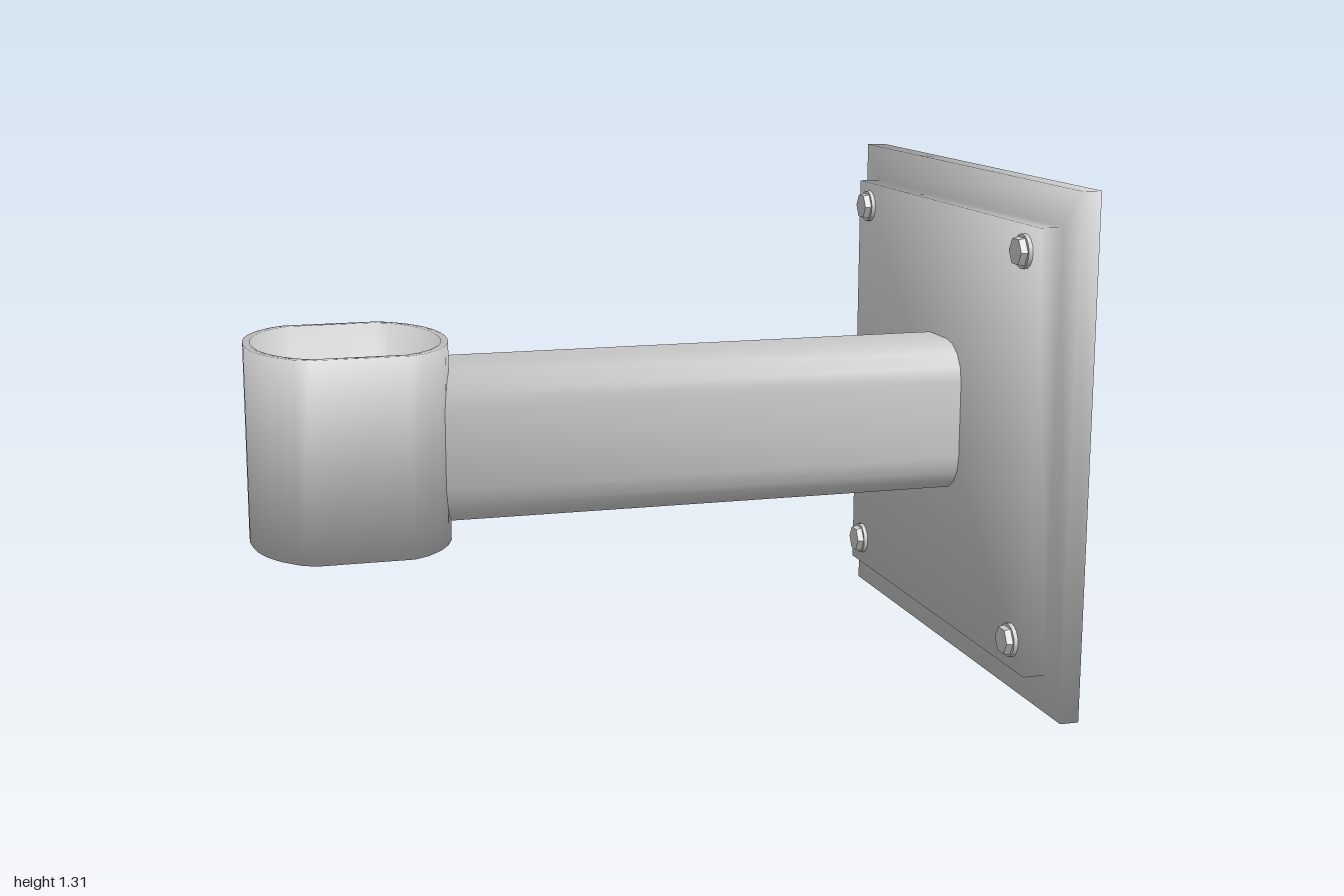
import * as THREE from 'three';
import { toCreasedNormals } from 'three/addons/utils/BufferGeometryUtils.js';

const CUP_X = -0.75;
const AXIS_Y = 0.66;

const solid = new THREE.MeshStandardMaterial({ color: 0xcccccc });
const sheet = new THREE.MeshStandardMaterial({ color: 0xcccccc, side: THREE.DoubleSide });

function part(name, geometry, material = solid) {
  const mesh = new THREE.Mesh(geometry, material);
  mesh.name = name;
  return mesh;
}

// Fully smooth normals, each face weighted by its corner angle
function smoothNormals(points, index) {
  const normals = points.map(() => new THREE.Vector3());
  const u = new THREE.Vector3(), v = new THREE.Vector3(), n = new THREE.Vector3();
  for (let t = 0; t < index.length; t += 3) {
    for (let k = 0; k < 3; k++) {
      const a = index[t + k], b = index[t + (k + 1) % 3], c = index[t + (k + 2) % 3];
      u.subVectors(points[b], points[a]);
      v.subVectors(points[c], points[a]);
      n.crossVectors(u, v).normalize();
      normals[a].addScaledVector(n, u.angleTo(v));
    }
  }
  return normals.flatMap(p => p.normalize().toArray());
}

// Smooth skin through equal-length closed loops of [x, y, z], with a fan over the last and optionally the first
function loft(loops, capFirst = false) {
  const n = loops[0].length;
  const index = [];
  for (let r = 0; r < loops.length - 1; r++) {
    for (let i = 0; i < n; i++) {
      const a = r * n + i, b = r * n + (i + 1) % n;
      index.push(a, b, b + n, a, b + n, a + n);
    }
  }
  const last = (loops.length - 1) * n;
  for (let i = 1; i < n - 1; i++) {
    index.push(last, last + i, last + i + 1);
    if (capFirst) index.push(0, i + 1, i);
  }
  const points = loops.flat().map(p => new THREE.Vector3(...p));
  const g = new THREE.BufferGeometry().setFromPoints(points);
  g.setAttribute('normal', new THREE.Float32BufferAttribute(smoothNormals(points, index), 3));
  g.setIndex(index);
  return g;
}

// Quarter outline of the cup (x, z): flat at the sides, bowed at the ends
const QUARTER = [[0.25, 0], [0.247, 0.05], [0.239, 0.1], [0.222, 0.15], [0.195, 0.197], [0.155, 0.24], [0.12, 0.26]];

// Cup outline at a given height and scale
function cupLoop(y, s) {
  const right = [...QUARTER.slice(1).reverse().map(([x, z]) => [x, -z]), ...QUARTER];
  const left = right.map(([x, z]) => [-x, -z]);
  return [...right, ...left].map(([x, z]) => [x * s, y, z * s]);
}

// Half-length of the cup at a given z
function cupReach(z) {
  const a = Math.abs(z);
  const i = QUARTER.findIndex((p, k) => k > 0 && p[1] >= a);
  const [p, q] = [QUARTER[i - 1], QUARTER[i]];
  return p[0] + (q[0] - p[0]) * (a - p[1]) / (q[1] - p[1]);
}

// Tube section (z, y): rounded rectangle
function tubeSection(w, h, r, seg = 4) {
  const pts = [];
  [[1, 1], [-1, 1], [-1, -1], [1, -1]].forEach(([sz, sy], k) => {
    for (let i = 0; i <= seg; i++) {
      const a = (k + i / seg) * Math.PI / 2;
      pts.push([sz * (w - r) + r * Math.cos(a), sy * (h - r) + r * Math.sin(a)]);
    }
  });
  return pts;
}

// Hexagon bolt standing on y = 0
function bolt(radius, height, name) {
  const g = new THREE.Group();
  g.name = name;
  const washer = part('boltWasher', new THREE.CylinderGeometry(radius, radius, height * 0.4, 16));
  washer.position.y = height * 0.2;
  const headGeo = new THREE.CylinderGeometry(radius * 0.82, radius * 0.9, height * 0.6, 6);
  const head = part('boltHead', toCreasedNormals(headGeo, 0.5));
  head.position.y = height * 0.7;
  g.add(washer, head);
  return g;
}

export function createModel() {
  const model = new THREE.Group();
  model.name = 'wallBracket';

  // Wall plate: a stepped pan pressed from thin sheet, open towards the wall
  const rect = (x, hy, hz) => [[1, -1], [-1, -1], [-1, 1], [1, 1]]
    .map(([sy, sz]) => [x, 0.655 + sy * hy, sz * hz]);
  const pan = loft([
    rect(0.937, 0.655, 0.682), rect(0.888, 0.655, 0.682),
    rect(0.888, 0.56, 0.588), rect(0.83, 0.56, 0.588),
  ]);
  model.add(part('wallPlate', pan, sheet));

  // Arm: tube open at the wall, closed against the cup's curve
  const section = tubeSection(0.158, 0.2, 0.1);
  const arm = loft([
    section.map(([z, y]) => [1, AXIS_Y + y, z]),
    section.map(([z, y]) => [CUP_X + cupReach(z) - 0.005, AXIS_Y + y, z]),
  ]);
  model.add(part('arm', arm, sheet));

  // Cup: thick wall with a floor above and a recessed cover below
  const inner = 0.928;
  const cup = part('cup', loft([
    cupLoop(0.33, inner), cupLoop(0.5, inner), cupLoop(0.5, 1),
    cupLoop(0, 1), cupLoop(0, inner), cupLoop(0.04, inner),
  ], true));
  cup.position.set(CUP_X, 0.42, 0);
  model.add(cup);

  // Four bolts on the plate and four under the cup
  for (const a of [-1, 1]) {
    for (const b of [-1, 1]) {
      const plateBolt = bolt(0.043, 0.027, 'plateBolt');
      plateBolt.rotation.z = Math.PI / 2;
      plateBolt.position.set(0.8295, 0.66 + a * 0.49, b * 0.51);
      const coverBolt = bolt(0.026, 0.035, 'coverBolt');
      coverBolt.rotation.x = Math.PI;
      coverBolt.position.set(CUP_X + a * 0.13, 0.46, b * 0.185);
      model.add(plateBolt, coverBolt);
    }
  }
  return model;
}
